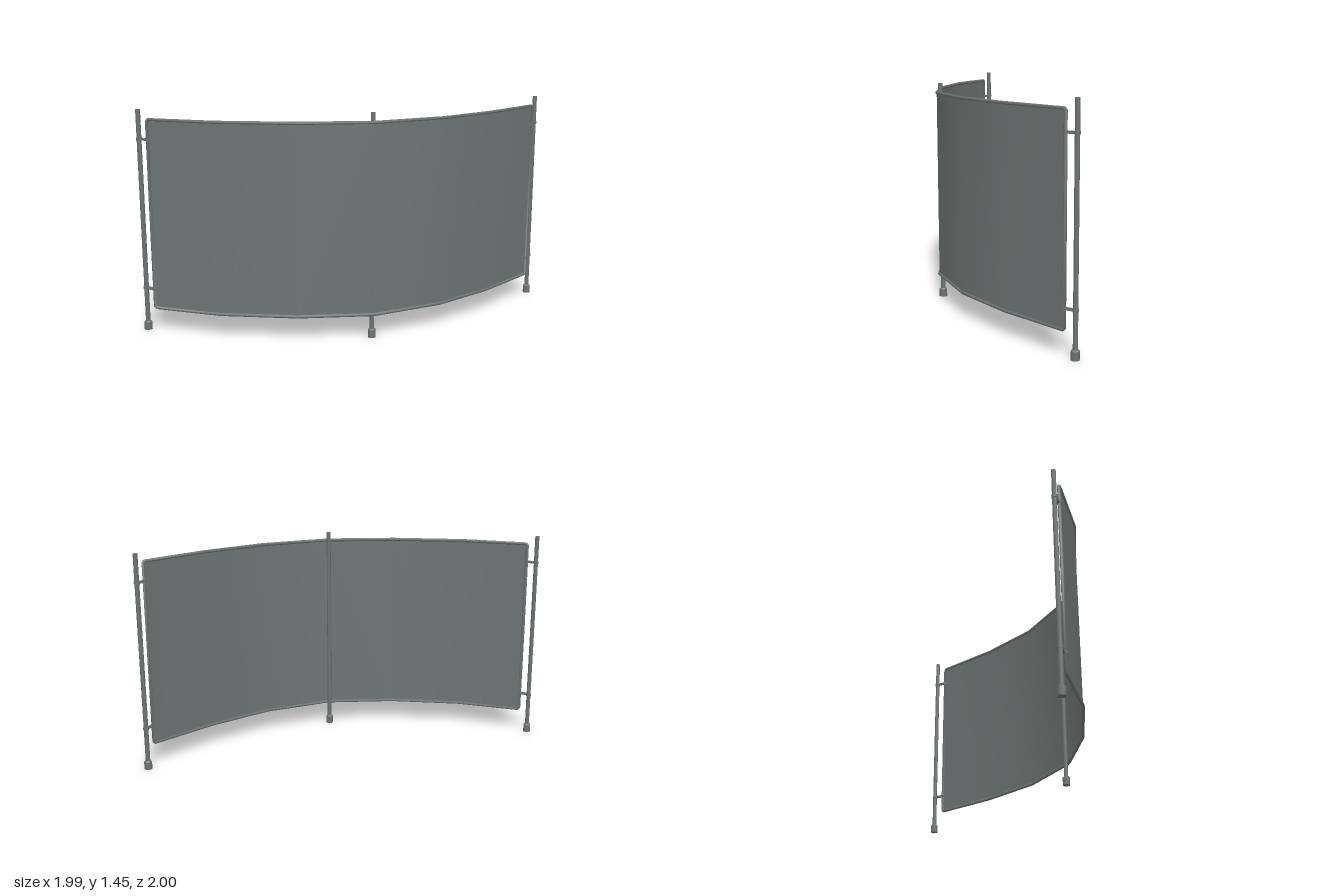
import * as THREE from 'three';

const BOTTOM = 0.16, TOP = 1.39, RIM = 0.011;

// Plan of the curved screen, as [x, z] from one end to the other
const PLAN = [
  [-0.903, 0.973], [-0.455, 0.882], [0.008, 0.686], [0.41, 0.416],
  [0.69, 0.012], [0.856, -0.42], [0.973, -0.903],
];

// Straight-segment path that keeps every corner and mitres the tangents
class PolyPath extends THREE.Curve {
  constructor(points) {
    super();
    this.points = points;
  }
  getPoint(t, target = new THREE.Vector3()) {
    const n = this.points.length - 1;
    const i = Math.min(Math.floor(t * n + 1e-6), n - 1);
    return target.lerpVectors(this.points[i], this.points[i + 1], t * n - i);
  }
  getPointAt(u, target) {
    return this.getPoint(u, target);
  }
  getTangentAt(u, target = new THREE.Vector3()) {
    const p = this.points, n = p.length - 1, i = Math.round(u * n);
    const before = i > 0 ? p[i].clone().sub(p[i - 1]) : p[1].clone().sub(p[0]);
    const after = i < n ? p[i + 1].clone().sub(p[i]) : before.clone();
    return target.copy(before.normalize().add(after.normalize())).normalize();
  }
}

// Smooth curved sheet
function sheetGeometry() {
  const positions = [], index = [];
  PLAN.forEach(([x, z], i) => {
    positions.push(x, BOTTOM, z, x, TOP, z);
    if (i > 0) {
      const a = 2 * (i - 1);
      index.push(a, a + 2, a + 3, a, a + 3, a + 1);
    }
  });
  const geometry = new THREE.BufferGeometry();
  geometry.setAttribute('position', new THREE.Float32BufferAttribute(positions, 3));
  geometry.setIndex(index);
  geometry.computeVertexNormals();
  return geometry;
}

// Round rim following the whole edge of the sheet, with small eased corners
function rimGeometry() {
  const ease = 0.012;
  const row = (y) => PLAN.map(([x, z]) => new THREE.Vector3(x, y, z));
  const corners = [...row(BOTTOM), ...row(TOP).reverse()];
  const last = PLAN.length - 1;
  const sharp = new Set([0, last, last + 1, 2 * last + 1]);
  const start = corners[0].clone().setY((BOTTOM + TOP) / 2);
  const points = [start];
  corners.forEach((p, i) => {
    if (!sharp.has(i)) return points.push(p);
    const prev = i === 0 ? start : corners[i - 1];
    const next = corners[(i + 1) % corners.length];
    const toward = (q) => p.clone().add(q.clone().sub(p).setLength(ease));
    points.push(toward(prev), toward(next));
  });
  points.push(start.clone());
  return new THREE.TubeGeometry(new PolyPath(points), points.length - 1, RIM, 6, false);
}

export function createModel() {
  const grey = new THREE.MeshStandardMaterial({ color: 0x6d7473 });
  grey.name = 'grey metal';
  const sheetGrey = grey;
  sheetGrey.side = THREE.DoubleSide;

  const model = new THREE.Group();
  model.name = 'curvedScreen';

  const add = (parent, name, geometry, x = 0, y = 0, z = 0) => {
    const mesh = new THREE.Mesh(geometry, grey);
    mesh.name = name;
    mesh.position.set(x, y, z);
    parent.add(mesh);
    return mesh;
  };

  add(model, 'screenSheet', sheetGeometry());
  add(model, 'screenRim', rimGeometry());

  // Upright pole with its foot cap
  const addPost = (name, x, z) => {
    const post = new THREE.Group();
    post.name = name;
    post.position.set(x, 0, z);
    add(post, 'pole', new THREE.CylinderGeometry(0.015, 0.015, 1.42, 8), 0, 0.74, 0);
    add(post, 'foot', new THREE.CylinderGeometry(0.026, 0.026, 0.052, 8), 0, 0.026, 0);
    add(post, 'footCollar', new THREE.CylinderGeometry(0.018, 0.026, 0.008, 8), 0, 0.056, 0);
    model.add(post);
    return post;
  };

  addPost('middlePost', 0.389, 0.402);

  // End posts, each tied to the screen edge by two clamps
  const ends = [
    ['rightPost', -0.972, 0.972, PLAN[0]],
    ['leftPost', 0.97, -0.974, PLAN[PLAN.length - 1]],
  ];
  for (const [name, x, z, edge] of ends) {
    const post = addPost(name, x, z);
    const dx = edge[0] - x, dz = edge[1] - z;
    for (const y of [0.285, 1.263]) {
      const clamp = new THREE.Group();
      clamp.name = 'clamp';
      clamp.position.y = y;
      clamp.rotation.y = Math.atan2(-dz, dx);
      const reach = Math.hypot(dx, dz);
      add(clamp, 'poleRing', new THREE.CylinderGeometry(0.019, 0.019, 0.018, 8));
      add(clamp, 'clampBar', new THREE.BoxGeometry(reach, 0.016, 0.014), reach / 2, 0, 0);
      add(clamp, 'rimRing', new THREE.CylinderGeometry(0.014, 0.014, 0.018, 8), reach, 0, 0);
      post.add(clamp);
    }
  }

  return model;
}
